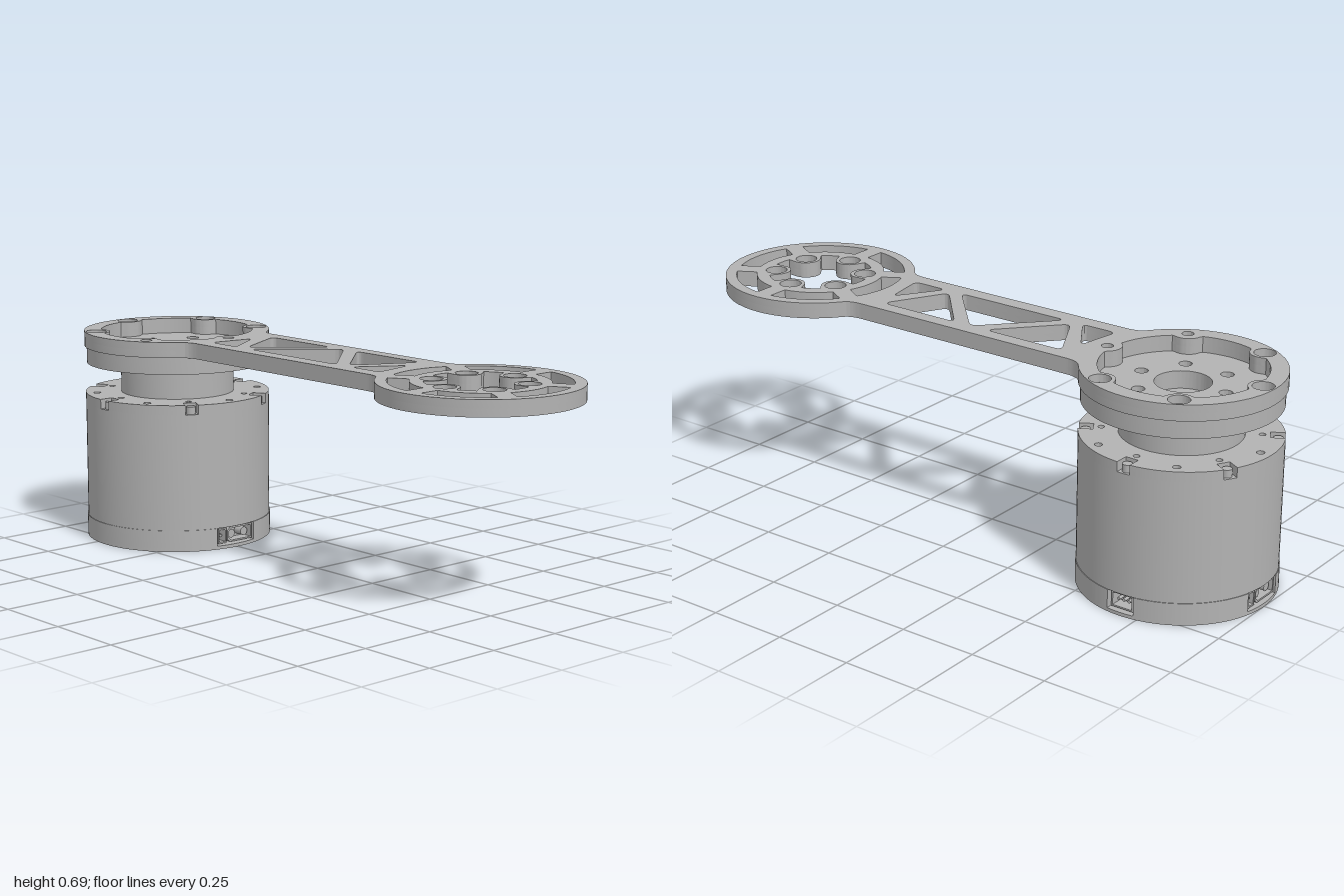
import * as THREE from 'three';
import { toCreasedNormals } from 'three/addons/utils/BufferGeometryUtils.js';

const metal = new THREE.MeshStandardMaterial({ color: 0xb2b2b2 });
metal.name = 'grey metal';
const RAD = Math.PI / 180;
const CX = 0.695; // distance of both arm ends from the middle
const R = 0.305;
const SIX = [0, 60, 120, 180, 240, 300];
const SIX_OFF = SIX.map(a => a + 30);

function mesh(name, geo) {
  const m = new THREE.Mesh(geo, metal);
  m.name = name;
  return m;
}

// flat plate: shape given in x and z, standing between y0 and y1
function plate(name, shape, y0, y1, segs = 24) {
  const g = new THREE.ExtrudeGeometry(shape, { depth: y1 - y0, bevelEnabled: false, curveSegments: segs });
  g.rotateX(Math.PI / 2);
  g.translate(0, y1, 0);
  return mesh(name, toCreasedNormals(g, 0.5));
}

const polar = (r, deg, cx = 0) => new THREE.Vector2(cx + r * Math.cos(deg * RAD), r * Math.sin(deg * RAD));

function circle(r, p = new THREE.Vector2(), Type = THREE.Path) {
  return new Type().absarc(p.x, p.y, r, 0, Math.PI * 2, false);
}

const holeRing = (r, ringR, angles, cx = 0) => angles.map(a => circle(r, polar(ringR, a, cx)));

// round opening of radius r, with round bosses intruding from its rim
function bossedHole(cx, r, ringR, bossR, angles) {
  const pts = [];
  for (let i = 0; i < 240; i++) {
    const a = i * 1.5;
    let d = r;
    for (const b of angles) {
      const s = ringR * Math.sin((a - b) * RAD), c = ringR * Math.cos((a - b) * RAD);
      if (c > 0 && Math.abs(s) < bossR) d = Math.min(d, c - Math.sqrt(bossR * bossR - s * s));
    }
    pts.push(polar(d, a, cx));
  }
  return new THREE.Path(pts);
}

// curved slot between two radii
function arcSlot(cx, r0, r1, mid, half) {
  const pts = [];
  for (let i = 0; i <= 12; i++) pts.push(polar(r1, mid - half + i * half / 6, cx));
  for (let i = 0; i <= 12; i++) pts.push(polar(r0, mid + (half - 2) * (1 - i / 6), cx));
  return new THREE.Path(pts);
}

function roundedPolygon(corners, r) {
  const path = new THREE.Path();
  const v = corners.map(([x, y]) => new THREE.Vector2(x, y));
  v.forEach((p, i) => {
    const toward = q => p.clone().add(q.clone().sub(p).setLength(r));
    const a = toward(v[(i + v.length - 1) % v.length]), b = toward(v[(i + 1) % v.length]);
    if (i) path.lineTo(a.x, a.y); else path.moveTo(a.x, a.y);
    path.quadraticCurveTo(p.x, p.y, b.x, b.y);
  });
  path.closePath();
  return path;
}

// disc with rectangular notches: [angle, half width, inner distance]
function notchedDisc(r, notches) {
  const s = new THREE.Shape();
  notches.forEach(([deg, w, d], i) => {
    const a = deg * RAD, gap = Math.asin(w / r);
    const at = side => [d * Math.cos(a) - side * w * Math.sin(a), d * Math.sin(a) + side * w * Math.cos(a)];
    const start = polar(r, deg - gap / RAD);
    if (!i) s.moveTo(start.x, start.y);
    s.lineTo(...at(-1));
    s.lineTo(...at(1));
    const end = polar(r, deg + gap / RAD);
    s.lineTo(end.x, end.y);
    const next = notches[(i + 1) % notches.length];
    let to = next[0] * RAD - Math.asin(next[1] / r);
    if (to < a) to += Math.PI * 2;
    s.absarc(0, 0, r, a + gap, to, false);
  });
  return s;
}

// dumbbell outline with fillets where the bar meets the discs
function armOutline() {
  const s = new THREE.Shape();
  const a = 36 * RAD, w = 0.158, p = polar(R, 36, -CX);
  s.moveTo(p.x, p.y);
  s.absarc(-CX, 0, R, a, Math.PI * 2 - a, false);
  s.quadraticCurveTo(-0.433, -w, -0.39, -w);
  s.lineTo(0.39, -w);
  s.quadraticCurveTo(0.433, -w, -p.x, -p.y);
  s.absarc(CX, 0, R, Math.PI + a, Math.PI * 3 - a, false);
  s.quadraticCurveTo(0.433, w, 0.39, w);
  s.lineTo(-0.39, w);
  s.quadraticCurveTo(-0.433, w, p.x, p.y);
  return s;
}

function armLayer(name, y0, y1, counterbored) {
  const s = armOutline();
  // motor end: open recess and rim screw holes
  s.holes.push(bossedHole(-CX, 0.25, 0.27, 0.048, SIX));
  SIX.forEach(a => {
    const big = counterbored && a !== 0 && a !== 60;
    s.holes.push(circle(big ? 0.033 : 0.018, polar(0.267, a, -CX)));
  });
  // far end: scalloped opening, bolt holes and rim slots
  s.holes.push(bossedHole(CX, 0.165, 0.145, 0.046, SIX_OFF));
  s.holes.push(...holeRing(counterbored ? 0.034 : 0.019, 0.145, SIX_OFF, CX));
  SIX.forEach(a => s.holes.push(arcSlot(CX, 0.205, 0.27, a, 24)));
  // truss windows in the bar
  for (const m of [-1, 1]) {
    s.holes.push(roundedPolygon([[m * 0.34, -0.11], [m * 0.06, -0.11], [m * 0.235, 0.085]], 0.03));
    s.holes.push(roundedPolygon([[m * 0.36, -0.04], [m * 0.385, 0.105], [m * 0.265, 0.105]], 0.025));
  }
  s.holes.push(roundedPolygon([[0, -0.11], [0.2, 0.105], [-0.2, 0.105]], 0.03));
  return plate(name, s, y0, y1);
}

// socket block facing +z: housing frame with floor and round contacts
function socket(corners, pins, pinR) {
  const g = new THREE.Group();
  g.name = 'socket';
  const outer = new THREE.Shape(corners.map(c => new THREE.Vector2(...c)));
  const mx = (Math.min(...corners.map(c => c[0])) + Math.max(...corners.map(c => c[0]))) / 2;
  outer.holes.push(new THREE.Path(corners.map(([x, y]) =>
    new THREE.Vector2(x - Math.sign(x - mx) * 0.005, y - Math.sign(y - 0.041) * 0.005))));
  const frame = new THREE.ExtrudeGeometry(outer, { depth: 0.045, bevelEnabled: false });
  frame.translate(0, 0, 0.246);
  g.add(mesh('socketFrame', frame));
  pins.forEach(x => {
    const pin = mesh('contactPin', new THREE.CylinderGeometry(pinR, pinR, 0.035, 16));
    pin.rotation.x = Math.PI / 2;
    pin.position.set(x, 0.041, 0.265);
    g.add(pin);
  });
  return g;
}

function motor() {
  const g = new THREE.Group();
  g.name = 'motor';
  const disc = (r, holes) => {
    const s = circle(r, undefined, THREE.Shape);
    s.holes.push(...holes);
    return s;
  };
  // closed base with screw holes
  g.add(plate('basePlate', disc(R, [
    ...holeRing(0.025, 0.268, [30, 120, 210, 300]), ...holeRing(0.012, 0.215, [25, 205])]), 0, 0.011, 48));
  // socket band with three pockets
  g.add(plate('socketBand', notchedDisc(R, [[0, 0.077, 0.25], [180, 0.077, 0.25], [270, 0.045, 0.25]]), 0.011, 0.07));
  g.add(plate('housing', disc(0.303, []), 0.07, 0.45, 48));
  // top rim with six screw notches
  const rim = notchedDisc(0.303, SIX_OFF.map(a => [a, 0.021, 0.258]));
  rim.holes.push(...holeRing(0.012, 0.268, SIX), ...holeRing(0.01, 0.235, SIX_OFF));
  g.add(plate('housingRim', rim, 0.45, 0.481));
  SIX_OFF.forEach(a => {
    const p = polar(0.281, a);
    const screw = mesh('rimScrew', new THREE.CylinderGeometry(0.015, 0.015, 0.024, 20));
    screw.position.set(p.x, 0.462, p.y);
    g.add(screw);
  });
  // power and signal sockets
  for (const side of [1, -1]) {
    const pair = new THREE.Group();
    pair.name = 'powerSocket';
    pair.add(socket([[-0.07, 0.016], [-0.036, 0.016], [-0.036, 0.066], [-0.07, 0.066]], [-0.053], 0.005));
    pair.add(socket([[-0.031, 0.026], [-0.02, 0.016], [0.072, 0.016], [0.072, 0.066], [-0.02, 0.066], [-0.031, 0.056]],
      [-0.008, 0.045], 0.014));
    pair.rotation.y = side * Math.PI / 2;
    g.add(pair);
  }
  const signal = socket([[-0.038, 0.016], [0.038, 0.016], [0.038, 0.066], [-0.038, 0.066]], [-0.018, 0, 0.018], 0.005);
  signal.rotation.y = Math.PI;
  g.add(signal);
  // output hub and mounting flange
  g.add(plate('outputHub', disc(0.186, [circle(0.05)]), 0.481, 0.58, 48));
  g.add(plate('flange', disc(0.298, [circle(0.085),
    ...holeRing(0.02, 0.145, SIX), ...holeRing(0.016, 0.267, SIX)]), 0.58, 0.635, 48));
  g.position.x = -CX;
  return g;
}

export function createModel() {
  const model = new THREE.Group();
  model.name = 'motorArm';
  const arm = new THREE.Group();
  arm.name = 'arm';
  arm.add(armLayer('armLower', 0.635, 0.66, false), armLayer('armUpper', 0.66, 0.685, true));
  model.add(motor(), arm);
  return model;
}
